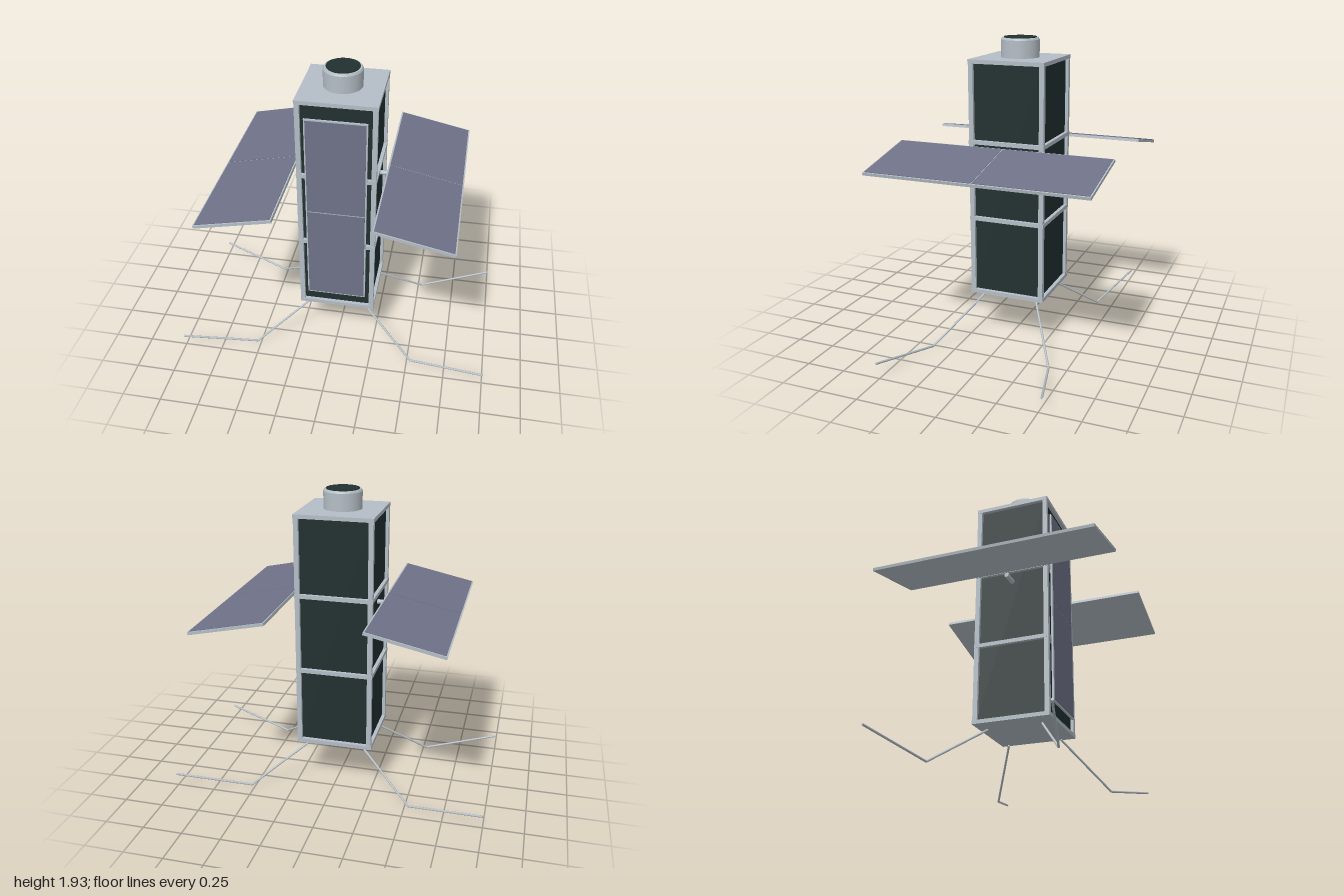
import * as THREE from 'three';

const metal = new THREE.MeshStandardMaterial({ color: 0xb4bec6 });
metal.name = 'brushed metal';
const dark = new THREE.MeshStandardMaterial({ color: 0x223030 });
dark.name = 'dark panel';
const cell = new THREE.MeshStandardMaterial({ color: 0x6f7288 });
cell.name = 'solar cell';

function add(parent, name, geometry, material, x = 0, y = 0, z = 0) {
  const mesh = new THREE.Mesh(geometry, material);
  mesh.name = name;
  mesh.position.set(x, y, z);
  parent.add(mesh);
  return mesh;
}
const box = (w, h, d) => new THREE.BoxGeometry(w, h, d);

// Round bar between two points
function rod(parent, name, a, b, radius) {
  const dir = b.clone().sub(a);
  const mesh = add(parent, name, new THREE.CylinderGeometry(radius, radius, dir.length(), 10), metal);
  mesh.position.copy(a).add(b).multiplyScalar(0.5);
  mesh.quaternion.setFromUnitVectors(new THREE.Vector3(0, 1, 0), dir.normalize());
}

// Flat tray with two cell sheets on its upper face, split at z = 0
function solarPanel(name, width, length, thickness) {
  const panel = new THREE.Group();
  panel.name = name;
  add(panel, 'panelTray', box(width, thickness, length), metal);
  const border = 0.009, gap = 0.007;
  const sheet = length / 2 - border - gap / 2;
  for (const s of [-1, 1]) {
    add(panel, 'cellSheet', box(width - 2 * border, 0.004, sheet), cell,
      0, thickness / 2 + 0.001, s * (gap + sheet) / 2);
  }
  return panel;
}

export function createModel() {
  const model = new THREE.Group();
  model.name = 'satellite';

  // Body core and frame
  add(model, 'bodyCore', box(0.45, 1.46, 0.45), dark, 0, 1.053, 0);
  add(model, 'topPlate', box(0.494, 0.025, 0.494), metal, 0, 1.7975, 0);
  add(model, 'bottomPlate', box(0.494, 0.025, 0.494), metal, 0, 0.3085, 0);
  for (const x of [-1, 1]) {
    for (const z of [-1, 1]) {
      add(model, 'cornerPost', box(0.03, 1.47, 0.03), metal, x * 0.23, 1.053, z * 0.23);
    }
  }
  for (const y of [0.805, 1.3]) {
    for (const s of [-1, 1]) {
      add(model, 'crossRail', box(0.494, 0.025, 0.025), metal, 0, y, s * 0.2345);
      add(model, 'sideRail', box(0.025, 0.025, 0.46), metal, s * 0.2345, y, 0);
    }
  }

  // Camera barrel with bevelled rim and dark lens
  const outline = [[0.12, 0], [0.12, 0.108], [0.12, 0.108], [0.113, 0.12], [0.113, 0.12], [0, 0.12]];
  const barrel = new THREE.LatheGeometry(outline.map(([r, y]) => new THREE.Vector2(r, y)), 40);
  add(model, 'cameraBarrel', barrel, metal, 0, 1.81, 0);
  add(model, 'lens', new THREE.CylinderGeometry(0.102, 0.102, 0.008, 40), dark, 0, 1.931, 0);

  // Solar panel on the front face
  const front = solarPanel('frontSolarPanel', 0.38, 1.3, 0.012);
  front.rotation.x = Math.PI / 2;
  front.position.set(0, 1.05, 0.25);
  model.add(front);

  for (const s of [-1, 1]) {
    // Tilted wing and its hinge
    const wing = solarPanel('solarWing', 0.482, 1.4, 0.018);
    wing.rotation.z = -s * 0.21;
    wing.position.set(s * 0.522, 1.226, 0);
    model.add(wing);
    rod(model, 'wingHinge', new THREE.Vector3(s * 0.22, 1.225, 0),
      new THREE.Vector3(s * 0.325, 1.225, 0), 0.015);

    // Bent antennas
    for (const t of [-1, 1]) {
      const root = new THREE.Vector3(s * 0.172, 0.275, t * 0.175);
      const knee = new THREE.Vector3(s * 0.523, 0.01, t * 0.39);
      const tip = new THREE.Vector3(s * 0.999, 0.096, t * 0.52);
      rod(model, 'antennaUpper', root, knee, 0.007);
      rod(model, 'antennaLower', knee, tip, 0.007);
      add(model, 'antennaKnee', new THREE.SphereGeometry(0.007, 10, 6), metal, knee.x, knee.y, knee.z);
    }
  }
  return model;
}
